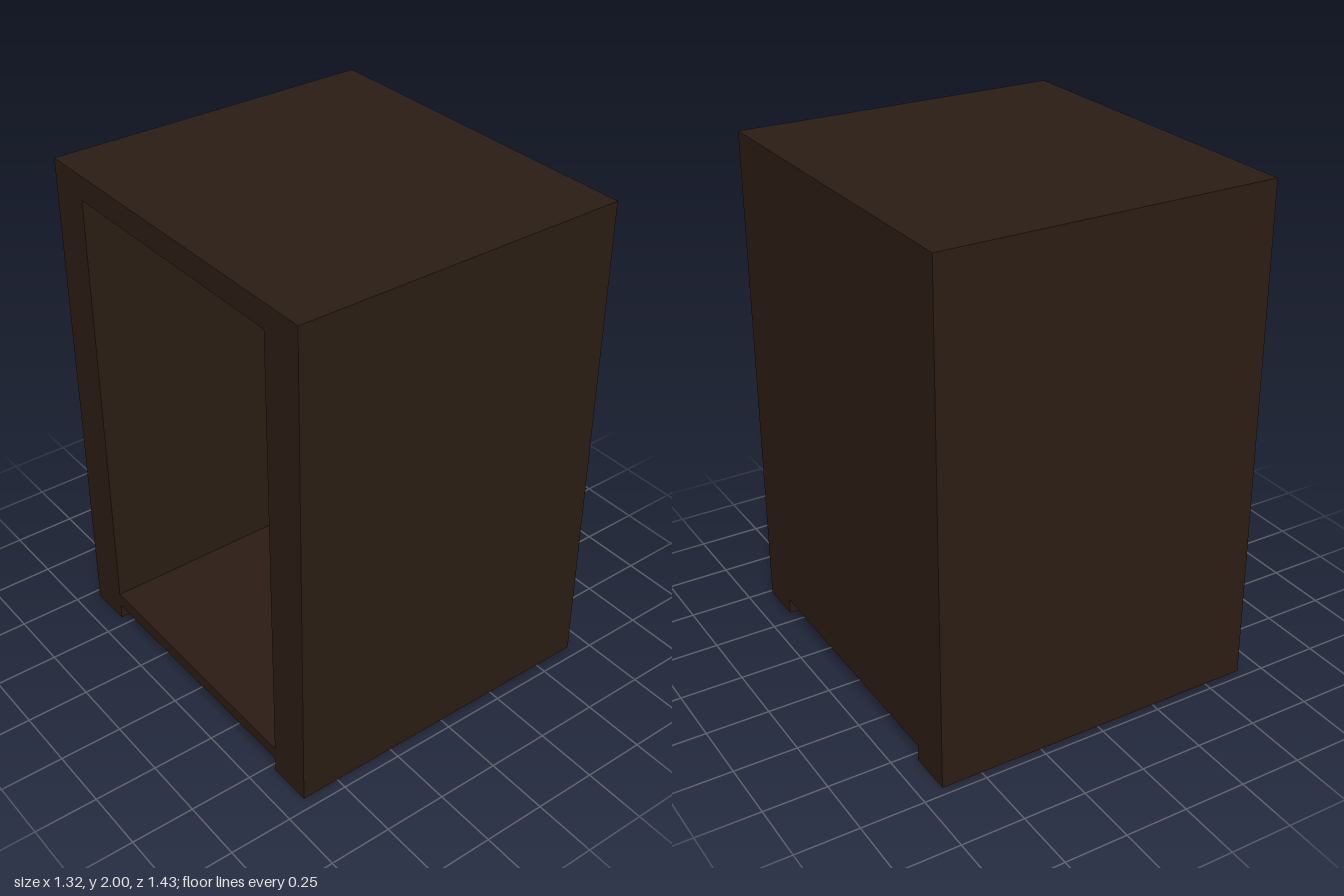
import * as THREE from 'three';

const W = 0.66, D = 0.715, H = 2;   // half width, half depth, height
const IN = 0.54;                    // half depth of the cavity
const NOTCH = 0.064, FLOOR = 0.125, CEIL = 1.905;

export function createModel() {
  const group = new THREE.Group();
  const material = new THREE.MeshStandardMaterial({ color: 0x2b1d14, flatShading: true });

  // A board between two corners; its low vertices follow the slightly sloping underside
  function board(name, x0, x1, y0, y1, z0, z1) {
    const geometry = new THREE.BoxGeometry(x1 - x0, y1 - y0, z1 - z0);
    geometry.translate((x0 + x1) / 2, (y0 + y1) / 2, (z0 + z1) / 2);
    const p = geometry.attributes.position;
    for (let i = 0; i < p.count; i++) {
      if (p.getY(i) < 0.1) p.setY(i, p.getY(i) + 0.008 + 0.011 * p.getZ(i));
    }
    geometry.computeVertexNormals();
    const mesh = new THREE.Mesh(geometry, material);
    mesh.name = name;
    group.add(mesh);
  }

  // Full-height panels, whose ends form the feet
  board('frontPanel', -W, W, 0, H, IN, D);
  board('backPanel', -W, W, 0, H, -D, -IN);

  // Boards enclosing the cavity, open on the -x side
  board('topPanel', -W, W, CEIL, H, -IN, IN);
  board('floorPanel', -W, W, NOTCH, FLOOR, -IN, IN);
  board('closedSide', W - 0.1, W, FLOOR, CEIL, -IN, IN);

  // Base set back from both sides, leaving a toe notch
  board('recessedBase', -W + 0.1, W - 0.08, 0, NOTCH, -IN, IN);

  return group;
}
